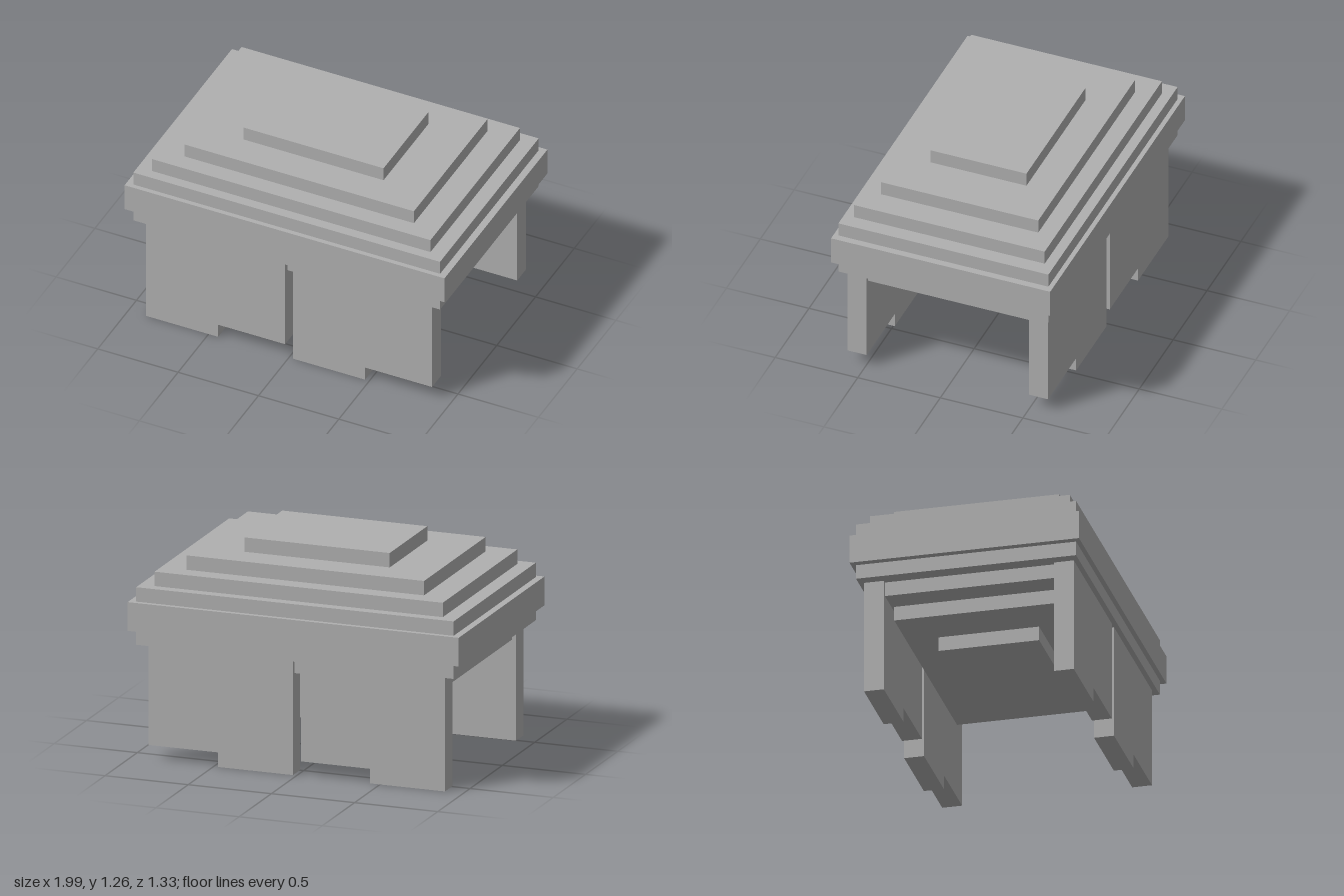
import * as THREE from 'three';

const STEP = 0.0839;      // height of one layer
const BODY_BASE = 0.419;  // underside of the body
const LAYERS = 10;

export function createModel() {
  const model = new THREE.Group();
  model.name = 'steppedBodyOnLegs';
  const grey = new THREE.MeshStandardMaterial({ color: 0xb0b0b0 });
  grey.name = 'grey';

  // Body: stacked slabs whose size follows an ellipsoid sampled at each layer's middle
  const body = new THREE.Group();
  body.name = 'body';
  for (let i = 0; i < LAYERS; i++) {
    const t = (i + 0.5) / (LAYERS / 2) - 1;
    const r = Math.sqrt(1 - t * t);
    const slab = new THREE.Mesh(new THREE.BoxGeometry(2 * r, STEP, (4 / 3) * r), grey);
    slab.name = `bodyLayer${i + 1}`;
    slab.position.y = BODY_BASE + (i + 0.5) * STEP;
    body.add(slab);
  }
  model.add(body);

  // Leg: upright plate with a shallow step cut from its +x half
  const width = 0.866, foot = 0.449, height = 0.671, thick = 0.115;
  const outline = new THREE.Shape([
    [0, 0], [foot, 0], [foot, 0.085], [width, 0.085], [width, height], [0, height],
  ].map(([x, y]) => new THREE.Vector2(x, y)));
  const legGeometry = new THREE.ExtrudeGeometry(outline, { depth: thick, bevelEnabled: false });
  legGeometry.translate(0, 0, -thick / 2);

  for (const [end, z] of [['front', 0.549], ['back', -0.549]]) {
    for (const [side, x] of [['Right', -0.89], ['Left', 0.024]]) {
      const leg = new THREE.Mesh(legGeometry, grey);
      leg.name = `${end}${side}Leg`;
      leg.position.set(x, 0, z);
      model.add(leg);
    }
  }
  return model;
}
